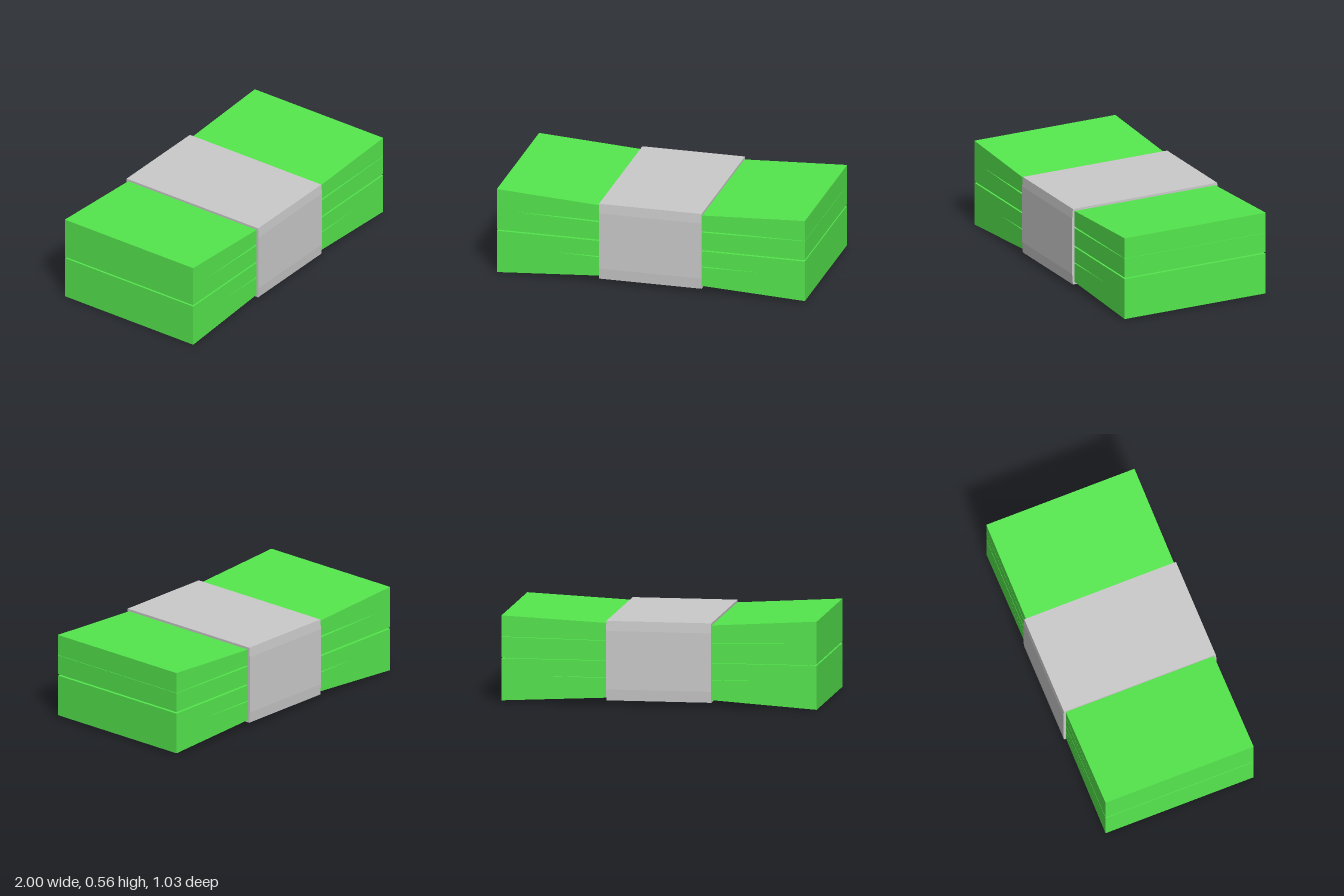
import * as THREE from 'three';

const green = new THREE.MeshStandardMaterial({ color: 0x55e84e, flatShading: true });
const grey = new THREE.MeshStandardMaterial({ color: 0xcccccc, flatShading: true });

// Solid prism along z, centred on z = 0, from an outline in x and y
function prism(points, depth, material, name) {
  const shape = new THREE.Shape(points.map(([x, y]) => new THREE.Vector2(x, y)));
  const geometry = new THREE.ExtrudeGeometry(shape, { depth, bevelEnabled: false });
  geometry.translate(0, 0, -depth / 2);
  const mesh = new THREE.Mesh(geometry, material);
  mesh.name = name;
  return mesh;
}

export function createModel() {
  const group = new THREE.Group();
  group.name = 'paperBundle';

  // Lower and upper edge of each layer, left to right; thin slits stay between them
  const layers = [
    [[[-1, 0], [-0.333, 0.045], [0.333, 0.045], [1, 0.012]],
      [[-1, 0.173], [-0.63, 0.173], [-0.333, 0.169], [0.333, 0.169], [0.72, 0.173], [1, 0.173]]],
    [[[-1, 0.173], [-0.63, 0.173], [-0.333, 0.176], [0.333, 0.176], [0.72, 0.173], [1, 0.173]],
      [[-1, 0.278], [1, 0.278]]],
    [[[-1, 0.288], [1, 0.288]],
      [[-1, 0.418], [-0.9, 0.417], [-0.333, 0.404], [0.333, 0.404], [1, 0.414]]],
    [[[-1, 0.418], [-0.9, 0.417], [-0.333, 0.415], [0.333, 0.415], [1, 0.416]],
      [[-1, 0.558], [-0.333, 0.518], [0.333, 0.518], [1, 0.55]]],
  ];
  layers.forEach(([bottom, top], i) => {
    group.add(prism([...bottom, ...top.slice().reverse()], 1, green, `paperStack${i + 1}`));
  });

  // Core that closes the slits deep inside the bundle
  const core = new THREE.Mesh(new THREE.BoxGeometry(1.96, 0.25, 0.96), green);
  core.name = 'innerCore';
  core.position.y = 0.29;
  group.add(core);

  // Wrapped band with slightly bulging front and back
  const half = [[0.512, 0.03], [0.517, 0.1], [0.517, 0.47], [0.512, 0.533]];
  const outline = [...half, ...half.slice().reverse().map(([z, y]) => [-z, y])];
  const band = prism(outline, 0.666, grey, 'band');
  band.rotation.y = Math.PI / 2;
  group.add(band);

  return group;
}
